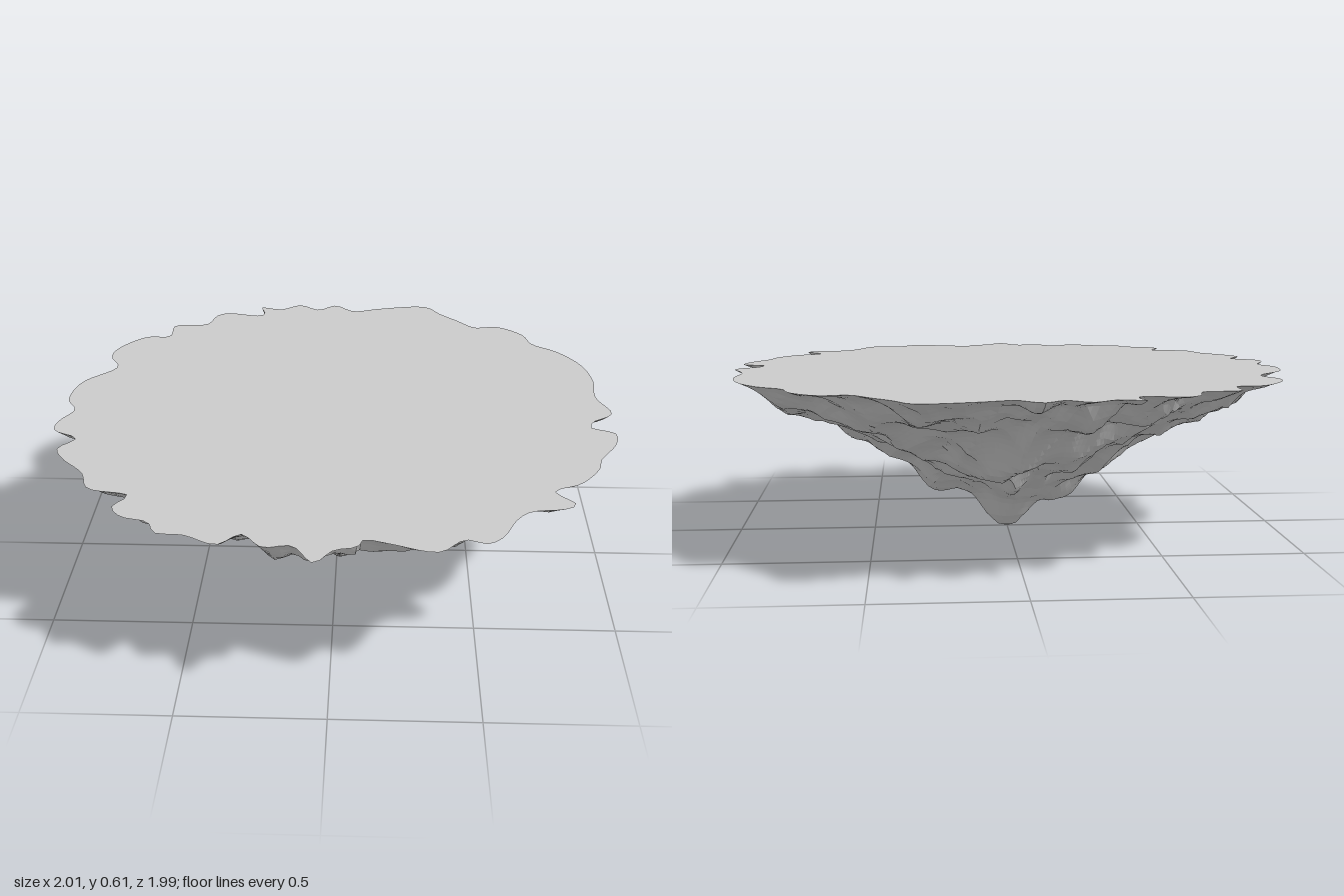
import * as THREE from 'three';

const TOP = 0.605, SEGMENTS = 240, RINGS = 50;

// Ragged rim of the plateau as x, z pairs
const RIM = [
  1, 0, 0.92, 0.07, 0.91, 0.11, 0.99, 0.15, 0.98, 0.23, 0.91, 0.35, 0.90, 0.40, 0.82, 0.51,
  0.73, 0.56, 0.79, 0.64, 0.75, 0.67, 0.64, 0.69, 0.59, 0.74, 0.54, 0.84, 0.49, 0.88, 0.42, 0.86,
  0.34, 0.93, 0.19, 0.89, 0.11, 0.87, 0.09, 0.91, 0.02, 0.93, -0.04, 1, -0.11, 0.91, -0.20, 0.92,
  -0.27, 0.85, -0.34, 0.91, -0.45, 0.86, -0.54, 0.85, -0.57, 0.79, -0.66, 0.76, -0.70, 0.70, -0.66, 0.63,
  -0.80, 0.59, -0.84, 0.49, -0.93, 0.39, -0.96, 0.32, -0.91, 0.25, -1, 0.19, -1, 0.12, -0.96, 0.03,
  -1, -0.05, -0.98, -0.20, -0.87, -0.34, -0.91, -0.43, -0.90, -0.51, -0.80, -0.63, -0.71, -0.64, -0.70, -0.75,
  -0.57, -0.77, -0.54, -0.86, -0.50, -0.89, -0.35, -0.87, -0.34, -0.91, -0.36, -0.96, -0.27, -0.94, -0.19, -0.99,
  -0.11, -0.94, -0.04, -0.99, 0.04, -0.93, 0.15, -0.96, 0.35, -0.985, 0.41, -0.91, 0.48, -0.84, 0.55, -0.77,
  0.64, -0.78, 0.74, -0.70, 0.77, -0.61, 0.86, -0.54, 0.94, -0.42, 0.97, -0.28, 0.96, -0.13,
];

// Mean underside: radius, height
const PROFILE = [
  [0, 0], [0.04, 0.012], [0.08, 0.055], [0.13, 0.13], [0.2, 0.185], [0.3, 0.23], [0.4, 0.285],
  [0.5, 0.345], [0.6, 0.4], [0.7, 0.455], [0.8, 0.505], [0.9, 0.555], [1, TOP],
];

// Larger hanging lumps: x, z, depth, width
const LUMPS = [
  [-0.18, 0, 0.08, 0.08], [-0.28, 0, 0.06, 0.09], [0.25, 0, 0.06, 0.09], [0, 0.34, 0.04, 0.09],
  [0, -0.25, 0.03, 0.08], [0.05, -0.42, 0.04, 0.1], [-0.5, 0.1, 0.03, 0.1], [0.58, 0, 0.04, 0.1],
];

function profileHeight(r) {
  for (let i = 1; i < PROFILE.length; i++) {
    const [r0, y0] = PROFILE[i - 1], [r1, y1] = PROFILE[i];
    if (r <= r1) return y0 + (y1 - y0) * (r - r0) / (r1 - r0);
  }
  return TOP;
}

function hash(a, b, seed) {
  const v = Math.sin(a * 127.1 + b * 311.7 + seed * 74.7) * 43758.5453;
  return v - Math.floor(v);
}

// Distance to the nearest scattered point: hollow scoops parted by sharp ridges.
// The pattern repeats after `period` cells along u.
function scoops(u, v, period, seed) {
  const iu = Math.floor(u), iv = Math.floor(v);
  let best = 9;
  for (let a = iu - 1; a <= iu + 1; a++) {
    const wrapped = THREE.MathUtils.euclideanModulo(a, period);
    for (let b = iv - 1; b <= iv + 1; b++) {
      best = Math.min(best, Math.hypot(a + hash(wrapped, b, seed) - u, b + hash(wrapped, b, seed + 1) - v));
    }
  }
  return best - 0.45;
}

function undersideGeometry(rim) {
  const positions = [], indices = [];
  for (let k = 0; k <= RINGS; k++) {
    const s = 1 - k / RINGS;
    const blend = THREE.MathUtils.smoothstep(s, 0.5, 1);
    const edgeFade = Math.min(1, (1 - s) * 10);
    const petalDepth = 0.075 * THREE.MathUtils.smoothstep(s, 0.08, 0.4) * edgeFade;
    const chipDepth = 0.065 * Math.min(1, s / 0.3) * edgeFade;
    for (let i = 0; i < SEGMENTS; i++) {
      // The ragged rim settles into round rings toward the tip
      const angle = i / SEGMENTS * Math.PI * 2;
      let x = s * THREE.MathUtils.lerp(0.96 * Math.cos(angle), rim[i].x, blend);
      let z = s * THREE.MathUtils.lerp(0.96 * Math.sin(angle), rim[i].y, blend);
      const r = Math.hypot(x, z) || 1;
      // Petal-like scoops fanning out from the tip, with finer chips on top
      const turn = Math.atan2(z, x) / (Math.PI * 2) * 15 + 0.25 * Math.sin(11 * r);
      const rock = petalDepth * scoops(turn, r / 0.25 + 0.2 * Math.sin(7 * x), 15, 3)
        + chipDepth * scoops(x / 0.16, z / 0.16, 1000, 8);
      let y = profileHeight(s) - rock;
      for (const [lx, lz, depth, width] of LUMPS) {
        const fall = Math.exp(-((x - lx) ** 2 + (z - lz) ** 2) / (width * width));
        y -= depth * fall * Math.min(1, s / 0.25);
      }
      // Ridges lean outward
      const lean = 1 + 0.35 * rock / r;
      positions.push(x * lean, k === 0 ? TOP : THREE.MathUtils.clamp(y, 0, TOP - 0.005), z * lean);
    }
  }
  for (let k = 0; k < RINGS; k++) {
    for (let i = 0; i < SEGMENTS; i++) {
      const j = (i + 1) % SEGMENTS;
      const a = k * SEGMENTS + i, b = k * SEGMENTS + j;
      const c = a + SEGMENTS, d = b + SEGMENTS;
      indices.push(a, b, c);
      if (k < RINGS - 1) indices.push(b, d, c);
    }
  }
  const geometry = new THREE.BufferGeometry();
  geometry.setAttribute('position', new THREE.Float32BufferAttribute(positions, 3));
  geometry.setIndex(indices);
  geometry.computeVertexNormals();
  return geometry;
}

export function createModel() {
  const group = new THREE.Group();
  group.name = 'floatingIsland';

  const points = [];
  for (let i = 0; i < RIM.length; i += 2) points.push(new THREE.Vector3(RIM[i], RIM[i + 1], 0));
  const curve = new THREE.CatmullRomCurve3(points, true, 'centripetal');
  curve.arcLengthDivisions = 1200;
  const rim = curve.getSpacedPoints(SEGMENTS).slice(0, SEGMENTS);

  // Flat plateau
  const shape = new THREE.Shape(rim.map(p => new THREE.Vector2(p.x, -p.y)));
  const plateau = new THREE.Mesh(
    new THREE.ShapeGeometry(shape).rotateX(-Math.PI / 2).translate(0, TOP, 0),
    new THREE.MeshStandardMaterial({ color: 0xcccccc }),
  );
  plateau.name = 'plateau';

  // Craggy underside tapering to a tip
  const underside = new THREE.Mesh(
    undersideGeometry(rim),
    new THREE.MeshStandardMaterial({ color: 0xcccccc, flatShading: true }),
  );
  underside.name = 'rockyUnderside';

  group.add(plateau, underside);
  return group;
}
